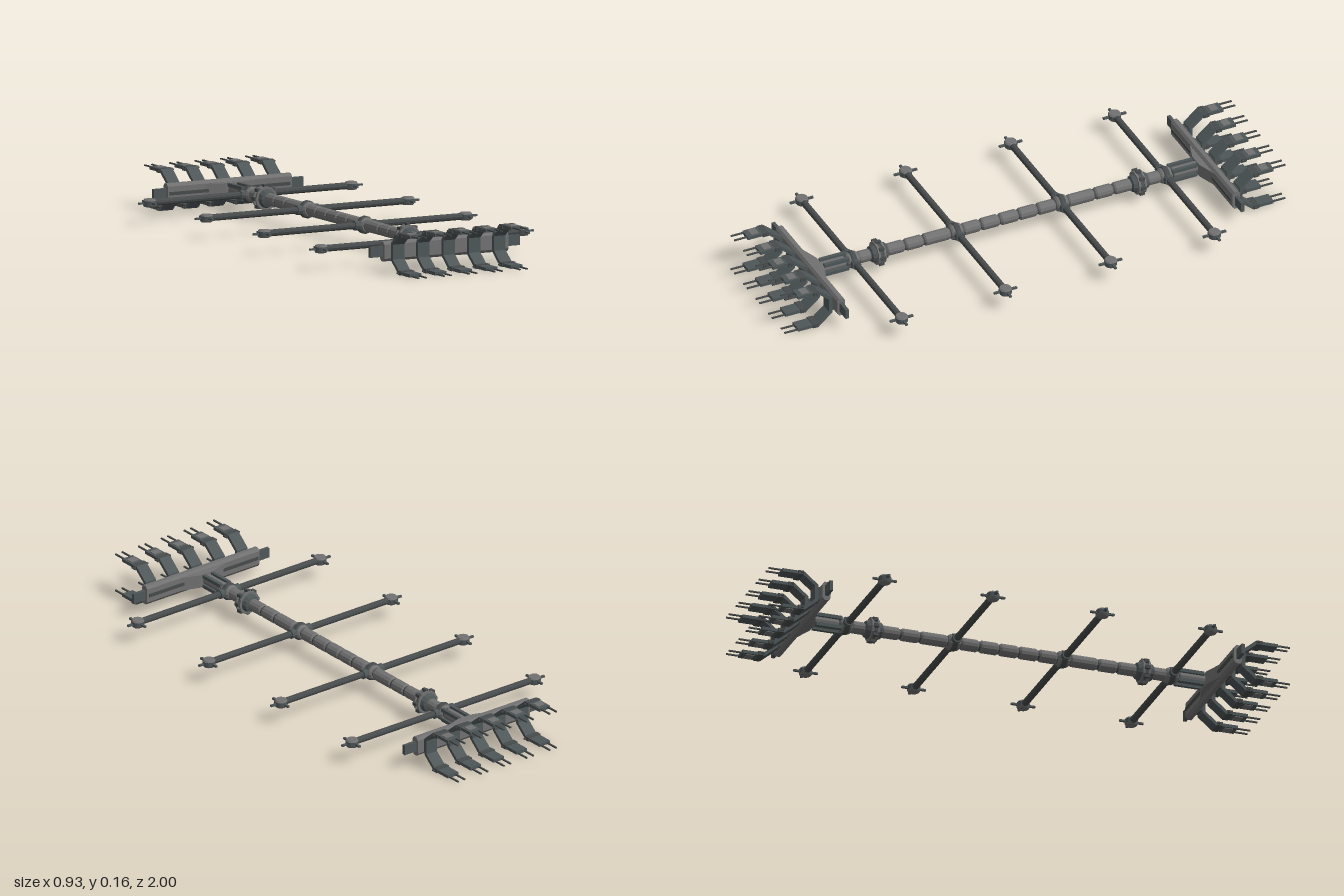
import * as THREE from 'three';

const mat = (name, color) => {
  const m = new THREE.MeshStandardMaterial({ color });
  m.name = name;
  m.flatShading = true;
  return m;
};

export function createModel() {
  const grey = mat('mid grey', 0x717171);
  const slate = mat('slate', 0x4e5658);
  const dark = mat('dark grey', 0x474b4b);
  const root = new THREE.Group();
  root.name = 'spaceTruss';
  const body = new THREE.Group();
  body.name = 'body';
  body.position.y = 0.08;
  root.add(body);

  const add = (parent, name, geo, m, x = 0, y = 0, z = 0) => {
    const mesh = new THREE.Mesh(geo, m);
    mesh.name = name;
    mesh.position.set(x, y, z);
    parent.add(mesh);
    return mesh;
  };
  const box = (p, name, m, w, h, d, x, y, z) => add(p, name, new THREE.BoxGeometry(w, h, d), m, x, y, z);
  // Turned part along z from [radius, z] points
  const turned = (p, name, m, pts, z, sides = 12) => add(p, name,
    new THREE.LatheGeometry(pts.map(a => new THREE.Vector2(a[0], a[1])), sides).rotateX(Math.PI / 2), m, 0, 0, z);
  // Spine section with bevelled ends
  const section = (p, name, m, r, z0, z1) => {
    const h = (z1 - z0) / 2, b = Math.min(0.007, h / 2);
    return turned(p, name, m, [[0, -h], [r - 0.006, -h], [r, -h + b], [r, h - b], [r - 0.006, h], [0, h]], (z0 + z1) / 2);
  };
  // Outline in the z/y plane, given thickness in x
  const sideExtrude = (pts, width) => {
    const s = new THREE.Shape(pts.map(a => new THREE.Vector2(a[0], a[1])));
    return new THREE.ExtrudeGeometry(s, { depth: width, bevelEnabled: false })
      .translate(0, 0, -width / 2).rotateY(-Math.PI / 2);
  };

  section(body, 'centreSection', grey, 0.023, -0.036, 0.036);

  // Claw outline: C-shaped band, upper half mirrored for the lower half
  const outer = [[0.95, 0.076], [0.866, 0.076], [0.813, 0.032]];
  const inner = [[0.826, 0.027], [0.871, 0.064], [0.95, 0.064]];
  const flip = a => [a[0], -a[1]];
  const clawPts = [...outer, ...outer.map(flip).reverse(), ...inner.map(flip).reverse(), ...inner];
  const clawGeo = sideExtrude(clawPts, 0.048);

  const buildEnd = (name) => {
    const end = new THREE.Group();
    end.name = name;
    body.add(end);

    // Spine
    section(end, 'spineCore', dark, 0.0185, 0.03, 0.78);
    for (const [a, b] of [[0.039, 0.112], [0.115, 0.185], [0.235, 0.34], [0.343, 0.415], [0.418, 0.49], [0.55, 0.605]])
      section(end, 'spineSection', grey, 0.023, a, b);
    section(end, 'neck', grey, 0.021, 0.65, 0.775);
    for (let i = 0; i < 4; i++) {
      const a = Math.PI / 4 + i * Math.PI / 2;
      box(end, 'neckRail', slate, 0.013, 0.013, 0.1, Math.cos(a) * 0.027, Math.sin(a) * 0.027, 0.695);
    }

    // Flanged docking collar
    turned(end, 'collar', slate, [[0.02, -0.034], [0.03, -0.03], [0.036, -0.014], [0.036, 0.014], [0.03, 0.03], [0.02, 0.034]], 0.52);
    for (const z of [0.509, 0.531])
      turned(end, 'collarFlange', grey, [[0, -0.004], [0.044, -0.004], [0.044, 0.004], [0, 0.004]], z);
    for (let i = 0; i < 8; i++) {
      const a = i * Math.PI / 4;
      box(end, 'collarLug', dark, 0.012, 0.012, 0.02, Math.cos(a) * 0.043, Math.sin(a) * 0.043, 0.52);
    }

    // Crossbars with end knobs
    for (const z of [0.21, 0.625]) {
      const bar = new THREE.Group();
      bar.name = 'crossbar';
      bar.position.z = z;
      end.add(bar);
      section(bar, 'hub', grey, 0.029, -0.023, 0.023);
      section(bar, 'hubBand', dark, 0.033, -0.013, 0.013);
      add(bar, 'rod', new THREE.CylinderGeometry(0.0125, 0.0125, 0.81, 10).rotateZ(Math.PI / 2), dark);
      for (const s of [-1, 1]) {
        add(bar, 'hubSleeve', new THREE.CylinderGeometry(0.018, 0.018, 0.02, 10).rotateZ(Math.PI / 2), slate, s * 0.035);
        const knob = new THREE.Group();
        knob.name = 'endKnob';
        knob.position.x = s * 0.418;
        bar.add(knob);
        add(knob, 'knobDisc', new THREE.CylinderGeometry(0.02, 0.024, 0.006, 16), grey, 0, 0.011);
        add(knob, 'knobBody', new THREE.CylinderGeometry(0.024, 0.024, 0.016, 16), slate);
        add(knob, 'knobBase', new THREE.CylinderGeometry(0.024, 0.02, 0.006, 16), grey, 0, -0.011);
        box(knob, 'outerSpike', slate, 0.026, 0.007, 0.009, s * 0.033, 0, 0);
        for (const t of [-1, 1]) box(knob, 'sideSpike', slate, 0.009, 0.007, 0.026, 0, 0, t * 0.033);
      }
    }

    // Claw-bearing head beam with chamfered edges
    const beam = [[0.805, 0.026], [0.797, 0.036], [0.782, 0.036], [0.774, 0.026],
      [0.774, -0.026], [0.782, -0.036], [0.797, -0.036], [0.805, -0.026]].reverse();
    add(end, 'headBeam', sideExtrude(beam, 0.515), grey);
    box(end, 'beamTip', slate, 0.62, 0.038, 0.013, 0, 0, 0.79);
    box(end, 'beamStrip', dark, 0.5, 0.012, 0.006, 0, 0, 0.773);
    // Tapered gusset joining the neck to the beam
    const gusset = new THREE.Shape([[-0.11, 0.777], [-0.03, 0.75], [0.03, 0.75], [0.11, 0.777]].map(a => new THREE.Vector2(...a)));
    add(end, 'gusset', new THREE.ExtrudeGeometry(gusset, { depth: 0.05, bevelEnabled: false })
      .rotateX(Math.PI / 2), grey, 0, 0.025);

    // Five double claws
    for (let i = -2; i <= 2; i++) {
      const claw = new THREE.Group();
      claw.name = 'claw';
      claw.position.x = i * 0.105;
      end.add(claw);
      add(claw, 'clawBand', clawGeo, slate);
      box(claw, 'clawRoot', dark, 0.04, 0.05, 0.02, 0, 0, 0.81);
      for (const s of [-1, 1]) {
        box(claw, 'clawClamp', dark, 0.056, 0.015, 0.022, 0, s * 0.069, 0.88);
        box(claw, 'clawPlate', grey, 0.034, 0.004, 0.03, 0, s * 0.0765, 0.918);
        box(claw, 'clawPin', dark, 0.068, 0.005, 0.008, 0, s * 0.07, 0.875);
        for (const t of [-1, 1]) box(claw, 'prong', dark, 0.006, 0.005, 0.08, t * 0.015, s * 0.0725, 0.96);
      }
    }
    return end;
  };

  buildEnd('frontEnd');
  buildEnd('backEnd').rotation.y = Math.PI;
  return root;
}
